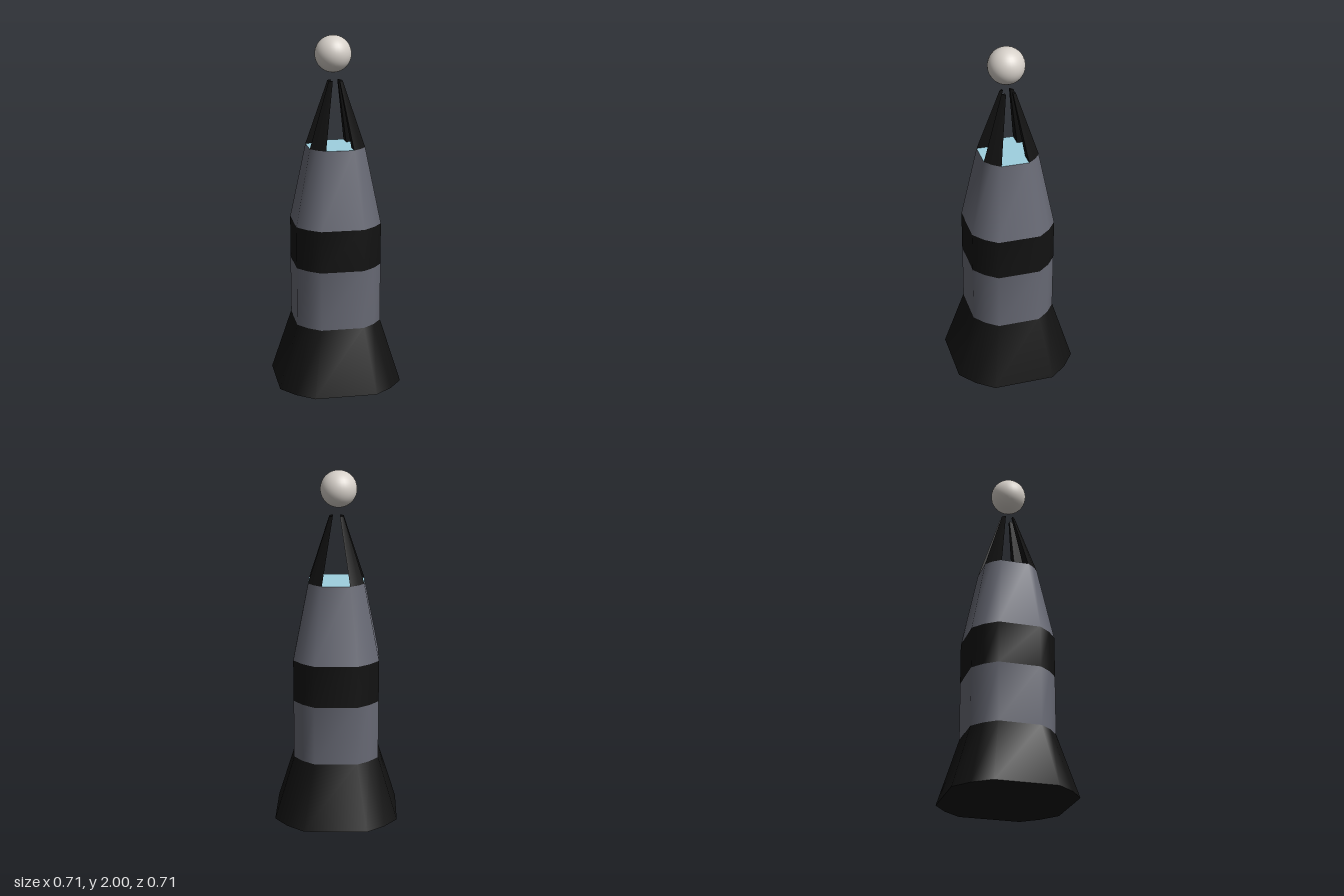
import * as THREE from 'three';
import { toCreasedNormals } from 'three/addons/utils/BufferGeometryUtils.js';

const mat = (color) => new THREE.MeshStandardMaterial({ color });

// Skin a stack of rings [[x, y, z], ...], each counter-clockwise from above
function loft(rings, capBottom, capTop) {
  const n = rings[0].length;
  const index = [];
  for (let r = 0; r < rings.length - 1; r++) {
    for (let i = 0; i < n; i++) {
      const a = r * n + i, b = r * n + (i + 1) % n;
      index.push(a, b, b + n, a, b + n, a + n);
    }
  }
  const top = (rings.length - 1) * n;
  for (let i = 1; i < n - 1; i++) {
    if (capBottom) index.push(0, i + 1, i);
    if (capTop) index.push(top, top + i, top + i + 1);
  }
  const geo = new THREE.BufferGeometry();
  geo.setAttribute('position', new THREE.Float32BufferAttribute(rings.flat(2), 3));
  geo.setIndex(index);
  return toCreasedNormals(geo, 0.75);
}

// Three points of one rounded corner, relative to a half width of 1
const CORNER = [[1, -0.5], [0.782, -0.782], [0.5, -1]];

// Twelve-sided rounded square: the corner turned in quarter steps
function section(half, y) {
  const ring = [];
  for (let q = 0; q < 4; q++) {
    for (const p of CORNER) {
      let [x, z] = p;
      for (let k = 0; k < q; k++) [x, z] = [z, -x];
      ring.push([x * half, y, z * half]);
    }
  }
  return ring;
}

export function createModel() {
  const group = new THREE.Group();
  const black = mat(0x121212), grey = mat(0x676974);
  const blue = mat(0x9fd0e0), cream = mat(0xd6d0c9);
  const add = (name, geo, material) => {
    const mesh = new THREE.Mesh(geo, material);
    mesh.name = name;
    group.add(mesh);
    return mesh;
  };

  // Body bands: name, material, lower half width and height, upper half width and height
  const bands = [
    ['flaredBase', black, 0.353, 0, 0.242, 0.365],
    ['lowerBody', grey, 0.242, 0.365, 0.242, 0.705],
    ['darkBand', black, 0.242, 0.705, 0.242, 0.945],
    ['taperedBody', grey, 0.242, 0.945, 0.157, 1.38],
  ];
  for (const [name, material, h0, y0, h1, y1] of bands) {
    add(name, loft([section(h0, y0), section(h1, y1)], y0 === 0, false), material);
  }

  // Pale top face between the prongs
  const topFace = new THREE.ShapeGeometry(
    new THREE.Shape(section(0.157, 0).map(([x, , z]) => new THREE.Vector2(x, -z))));
  add('topFace', topFace.rotateX(-Math.PI / 2).translate(0, 1.38, 0), blue);

  // Four prongs, one above each corner, bending in to a narrow tip
  const prongRings = [[0.157, 1.38], [0.055, 1.7], [0.04, 1.748]].map(([half, y]) =>
    [...CORNER, [0.5, -0.5]].map(([x, z]) => [x * half, y, z * half]));
  const prongGeo = loft(prongRings, true, true);
  for (let q = 0; q < 4; q++) {
    add('prong', prongGeo, black).rotation.y = q * Math.PI / 2;
  }

  // Ball floating over the tips
  add('ball', new THREE.SphereGeometry(0.103, 32, 20), cream).position.set(-0.012, 1.897, 0.003);

  return group;
}
